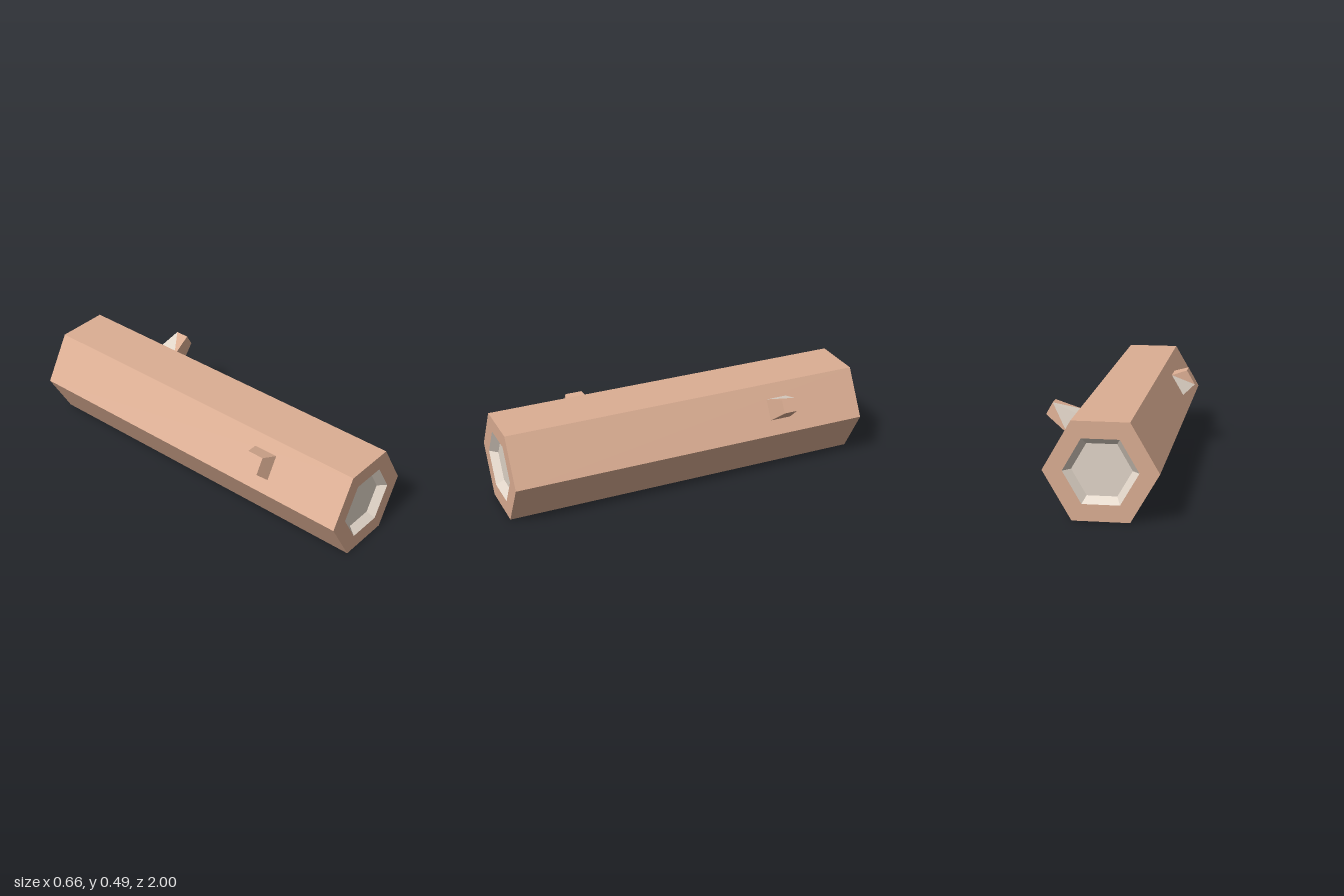
import * as THREE from 'three';

const barkMat = new THREE.MeshStandardMaterial({ color: 0xdcae93 });
const woodMat = new THREE.MeshStandardMaterial({ color: 0xe2d6c9 });
barkMat.flatShading = woodMat.flatShading = true;

const CX = -0.022, CY = 0.244;           // log axis
const R = 0.2815, RIM = 0.1845, FLOOR = 0.1475, DEPTH = 0.04;

// Six-sided solid turned from a [radius, z] profile, laid along z
function hexLathe(name, profile, material) {
  const pts = profile.map(([r, z]) => new THREE.Vector2(r, z));
  const geo = new THREE.LatheGeometry(pts, 6, Math.PI / 6).toNonIndexed();
  geo.computeVertexNormals();
  geo.rotateX(Math.PI / 2);
  geo.translate(CX, CY, 0);
  const mesh = new THREE.Mesh(geo, material);
  mesh.name = name;
  return mesh;
}

function triangleMesh(name, tris, material) {
  const geo = new THREE.BufferGeometry();
  geo.setAttribute('position', new THREE.Float32BufferAttribute(tris.flat(2), 3));
  geo.computeVertexNormals();
  const mesh = new THREE.Mesh(geo, material);
  mesh.name = name;
  return mesh;
}

// Tapered four-sided stub; base and tip give [top xy, bottom xy, zMin, zMax].
// bare lists the sides with a stripped triangle and the tip corner it reaches.
function branch(name, base, tip, bare) {
  const ring = ([t, b, z0, z1]) => [[...t, z1], [...t, z0], [...b, z0], [...b, z1]];
  const B = ring(base), T = ring(tip);
  const bark = [], wood = [];
  for (let i = 0; i < 4; i++) {
    const j = (i + 1) % 4;
    const inner = bare[i] === i ? [B[i], T[i], B[j]] : [B[i], T[j], B[j]];
    const outer = bare[i] === i ? [T[i], T[j], B[j]] : [B[i], T[i], T[j]];
    (i in bare ? wood : bark).push(inner);
    bark.push(outer);
  }
  bark.push([T[0], T[3], T[2]], [T[0], T[2], T[1]]);
  // Stubs pointing to -x need the opposite corner order
  if (tip[0][0] < 0) [...bark, ...wood].forEach((t) => t.reverse());
  const group = new THREE.Group();
  group.name = name;
  group.add(triangleMesh(name + 'Bark', bark, barkMat), triangleMesh(name + 'BareWood', wood, woodMat));
  return group;
}

export function createModel() {
  const log = new THREE.Group();
  log.name = 'hollowEndedLog';

  // Bark with flat rims at both ends
  log.add(hexLathe('bark', [[RIM, -1], [R, -1], [R, 1], [RIM, 1]], barkMat));

  // Recessed pale wood at each end
  log.add(hexLathe('frontCutWood', [[RIM, 1], [FLOOR, 1 - DEPTH], [0, 1 - DEPTH]], woodMat));
  log.add(hexLathe('backCutWood', [[0, DEPTH - 1], [FLOOR, DEPTH - 1], [RIM, -1]], woodMat));

  // Branch stubs
  log.add(branch('leftBranch',
    [[0.16, 0.417], [0.218, 0.316], -0.575, -0.457],
    [[0.294, 0.468], [0.329, 0.406], -0.553, -0.478], { 0: 1, 1: 1 }));
  log.add(branch('rightBranch',
    [[-0.2, 0.423], [-0.266, 0.309], 0.423, 0.557],
    [[-0.284, 0.449], [-0.33, 0.369], 0.443, 0.535], { 1: 2 }));

  return log;
}
